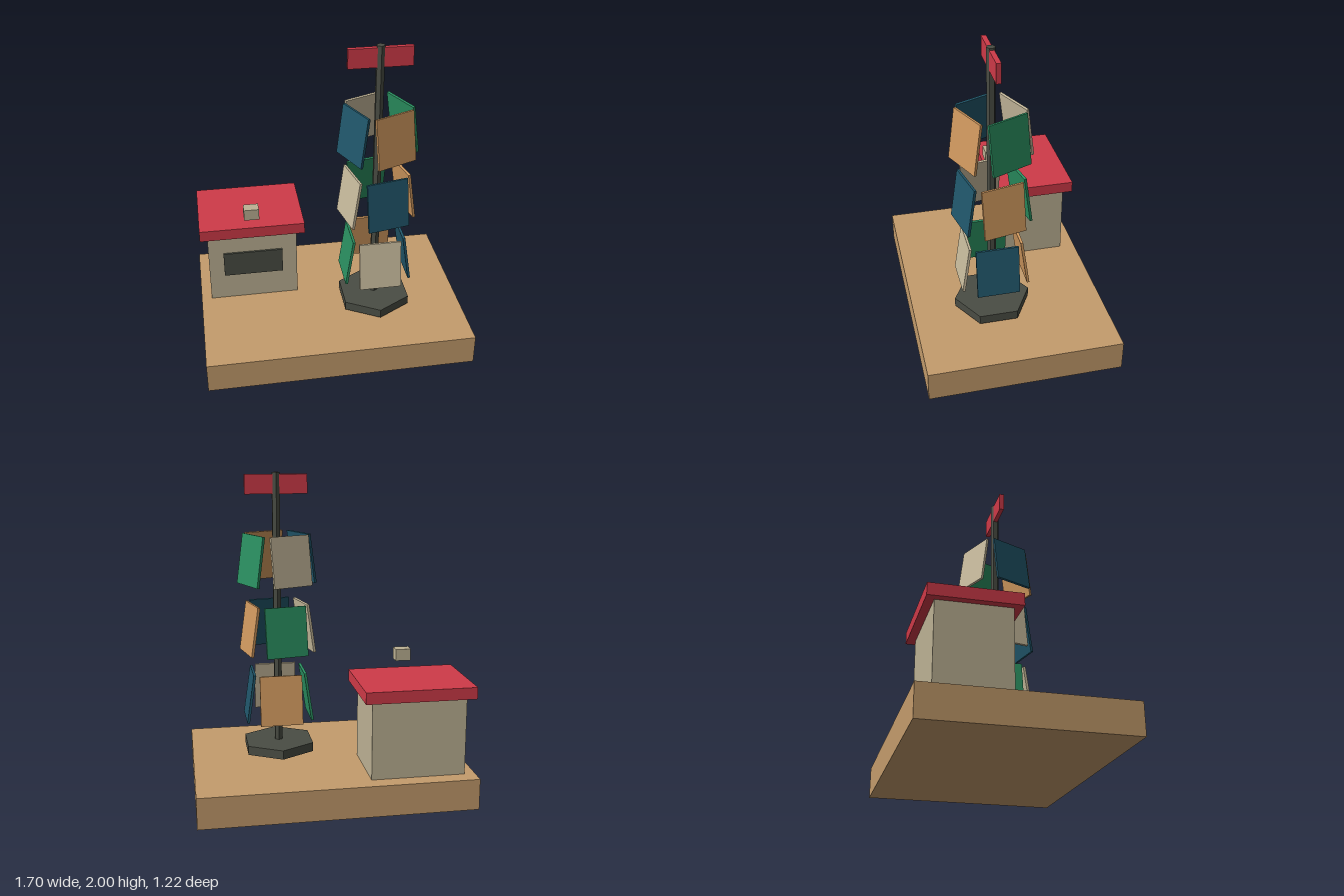
import * as THREE from 'three';

const mat = (color) => new THREE.MeshStandardMaterial({ color, flatShading: true });
const MATS = {
  sand: mat(0xc49c6c), wall: mat(0xbdb294), red: mat(0xcf3a48), dark: mat(0x4a4d44),
  beige: mat(0xc8bb9d), teal: mat(0x20566a), orange: mat(0xcf985e), green: mat(0x2a8f60),
};

function add(parent, name, geometry, material, x, y, z) {
  const mesh = new THREE.Mesh(geometry, material);
  mesh.name = name;
  mesh.position.set(x, y, z);
  parent.add(mesh);
  return mesh;
}

// Box given by its minimum and maximum corners
function box(parent, name, material, [x0, y0, z0], [x1, y1, z1]) {
  return add(parent, name, new THREE.BoxGeometry(x1 - x0, y1 - y0, z1 - z0), material,
    (x0 + x1) / 2, (y0 + y1) / 2, (z0 + z1) / 2);
}

export function createModel() {
  const model = new THREE.Group();
  model.name = 'panelTowerAndHut';

  // Ground slab
  box(model, 'baseSlab', MATS.sand, [-0.85, 0, -0.61], [0.85, 0.195, 0.61]);

  // Hut with overhanging flat roof, window and floating block
  const hut = new THREE.Group();
  hut.name = 'hut';
  model.add(hut);
  box(hut, 'hutWalls', MATS.wall, [-0.783, 0.195, -0.511], [-0.2, 0.686, -0.072]);
  box(hut, 'hutRoof', MATS.red, [-0.83, 0.686, -0.56], [-0.15, 0.759, -0.025]);
  box(hut, 'hutWindow', MATS.dark, [-0.685, 0.379, -0.085], [-0.297, 0.549, -0.059]);
  box(hut, 'chimneyBlock', MATS.wall, [-0.539, 0.819, -0.098], [-0.442, 0.893, -0.024]);

  // Tower: hexagonal foot and pole
  const tower = new THREE.Group();
  tower.name = 'tower';
  tower.position.set(0.29, 0, 0.098);
  model.add(tower);
  add(tower, 'towerFoot', new THREE.CylinderGeometry(0.242, 0.242, 0.058, 6), MATS.dark, 0, 0.246, 0);
  add(tower, 'pole', new THREE.CylinderGeometry(0.027, 0.027, 1.805, 6), MATS.dark, 0, 1.0975, 0);

  // Three tiers of four leaning panels, each tier turned a little further
  const colors = [MATS.beige, MATS.teal, MATS.orange, MATS.green];
  const panelGeometry = new THREE.BoxGeometry(0.267, 0.315, 0.016);
  for (let tier = 0; tier < 3; tier++) {
    const ring = new THREE.Group();
    ring.name = `panelTier${tier + 1}`;
    ring.position.y = 0.588 + tier * 0.439;
    ring.rotation.y = tier * 0.2;
    tower.add(ring);
    for (let side = 0; side < 4; side++) {
      const arm = new THREE.Group();
      arm.name = 'panelArm';
      arm.rotation.y = side * Math.PI / 2;
      ring.add(arm);
      const panel = add(arm, 'panel', panelGeometry, colors[(side + tier) % 4], 0, 0, 0.183);
      panel.rotation.x = -0.145;
    }
  }

  // Sign board through the top of the pole
  box(tower, 'topSign', MATS.red, [-0.195, 1.867, -0.015], [0.195, 1.988, 0.015]);

  return model;
}
